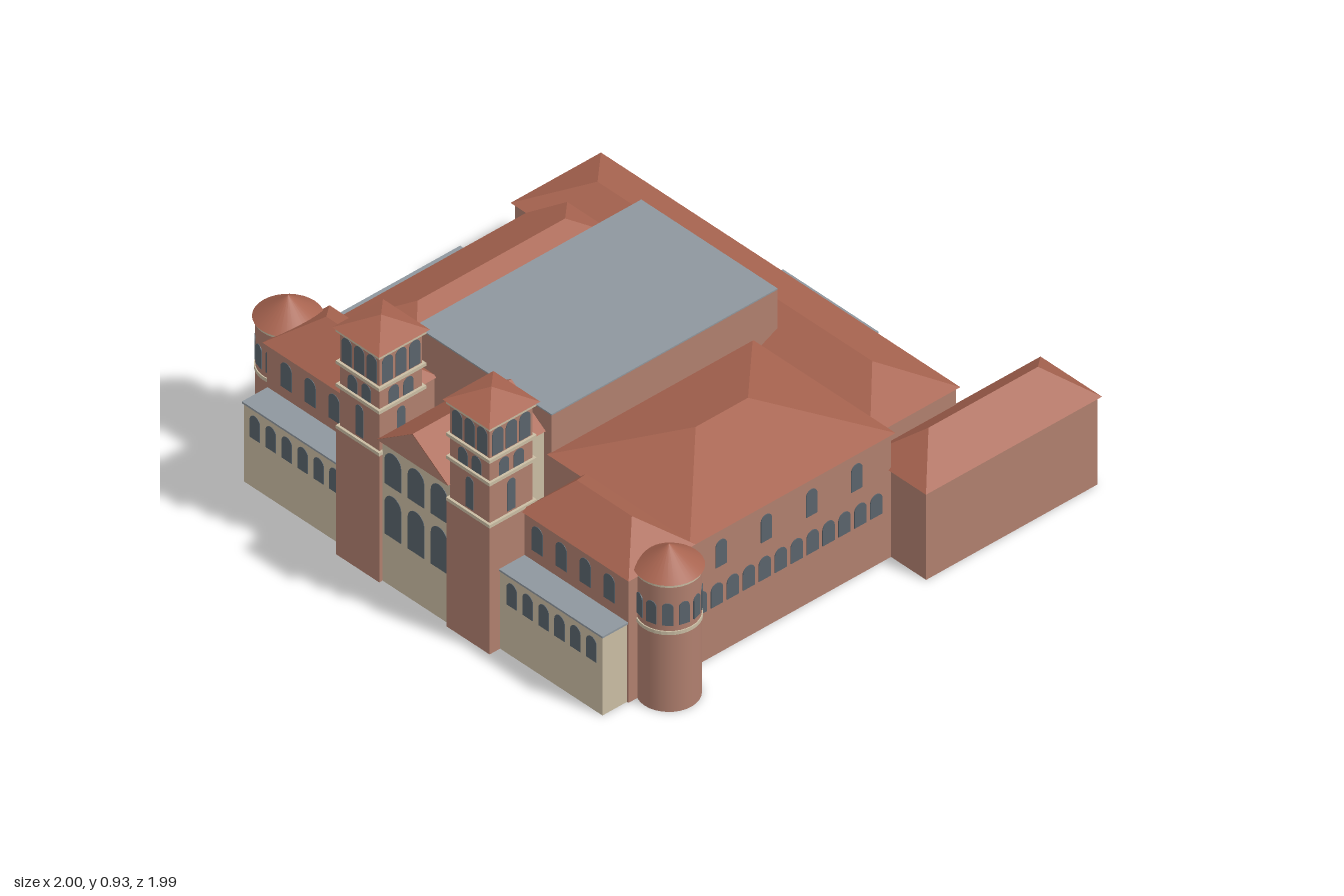
import * as THREE from 'three';

const mat = (color) => new THREE.MeshStandardMaterial({ color, side: THREE.DoubleSide });
const smoothBrick = mat(0xb07f6e);
const flat = (color) => Object.assign(mat(color), { flatShading: true });
const brick = flat(0xb07f6e), tile = flat(0xa86450), cream = flat(0xcabda3);
const glass = flat(0x59636b), slate = flat(0x8e979e);
const CX = 0.007; // axis of the symmetric entrance front

export function createModel() {
  const root = new THREE.Group();
  root.name = 'building';

  const add = (parent, name, geo, material, x = 0, y = 0, z = 0) => {
    const m = new THREE.Mesh(geo, material);
    m.name = name;
    m.position.set(x, y, z);
    parent.add(m);
    return m;
  };

  // Box given by its limits; walls have no floor
  const block = (parent, name, x0, x1, y0, y1, z0, z1, material, open = true) => {
    const g = new THREE.BoxGeometry(x1 - x0, y1 - y0, z1 - z0);
    if (open) {
      const idx = Array.from(g.index.array);
      idx.splice(18, 6);
      g.setIndex(idx);
      g.clearGroups();
    }
    return add(parent, name, g, material, (x0 + x1) / 2, (y0 + y1) / 2, (z0 + z1) / 2);
  };

  // Hip roof with its ridge along x or z; lo and hi are the ridge ends
  const hip = (parent, name, x0, x1, z0, z1, y0, y1, axis, lo, hi) => {
    const A = [x0, y0, z1], B = [x1, y0, z1], C = [x1, y0, z0], D = [x0, y0, z0];
    const xm = (x0 + x1) / 2, zm = (z0 + z1) / 2, pos = [];
    const tri = (...p) => pos.push(...p.flat());
    const quad = (a, b, c, d) => { tri(a, b, c); if (lo !== hi) tri(a, c, d); };
    if (axis === 'x') {
      const P = [lo, y1, zm], Q = [hi, y1, zm];
      quad(A, B, Q, P); tri(B, C, Q); quad(C, D, P, Q); tri(D, A, P);
    } else {
      const P = [xm, y1, hi], Q = [xm, y1, lo];
      tri(A, B, P); quad(B, C, Q, P); tri(C, D, Q); quad(D, A, P, Q);
    }
    tri(A, D, C); tri(A, C, B);
    const g = new THREE.BufferGeometry();
    g.setAttribute('position', new THREE.Float32BufferAttribute(pos, 3));
    g.computeVertexNormals();
    return add(parent, name, g, tile);
  };

  // Round-headed window standing on y, turned to face the given angle
  const arch = (parent, w, h, x, y, z, turn = 0) => {
    const r = w / 2, s = new THREE.Shape();
    s.moveTo(-r, 0);
    s.lineTo(r, 0);
    s.lineTo(r, h - r);
    s.absarc(0, h - r, r, 0, Math.PI, false);
    s.lineTo(-r, 0);
    const g = new THREE.ExtrudeGeometry(s, { depth: 0.004, bevelEnabled: false, curveSegments: 6 });
    add(parent, 'archedWindow', g, glass, x, y, z).rotation.y = turn;
  };

  const group = (name, x = 0, z = 0) => {
    const g = new THREE.Group();
    g.name = name;
    g.position.set(x, 0, z);
    root.add(g);
    return g;
  };

  // Flat-roofed blocks
  const flatBlock = (name, x0, x1, z0, z1, h) => {
    const g = group(name);
    block(g, 'walls', x0, x1, 0, h - 0.005, z0, z1, brick);
    block(g, 'flatRoof', x0, x1, h - 0.005, h, z0, z1, slate, false);
  };
  flatBlock('centralHall', -0.425, 0.195, -0.38, 0.57, 0.63);
  flatBlock('leftAnnex', -1, -0.81, -0.15, 0.48, 0.25);
  flatBlock('rearAnnex', -0.235, 0.2, -0.8, -0.62, 0.25);

  // Hip-roofed wings: the roof overhangs the walls a little
  const wing = (name, x0, x1, z0, z1, eave, top, axis, lo, hi) => {
    const g = group(name), o = 0.01;
    block(g, 'walls', x0 + o, x1 - o, 0, eave, z0 + o, z1 - o, brick);
    hip(g, 'hipRoof', x0, x1, z0, z1, eave, top, axis, lo, hi);
    return g;
  };
  wing('leftWing', -0.82, -0.42, -0.44, 0.575, 0.42, 0.52, 'z', -0.24, 0.38);
  wing('rearWing', -0.89, 0.745, -0.64, -0.26, 0.42, 0.51, 'x', -0.7, 0.55);
  wing('rearSideWing', 0.72, 1, -1, -0.26, 0.34, 0.45, 'z', -0.86, -0.4);
  const rightWing = wing('rightWing', 0.19, 0.84, -0.28, 0.585, 0.48, 0.6, 'z', 0.04, 0.26);
  for (let i = 0; i < 12; i++) arch(rightWing, 0.05, 0.085, 0.829, 0.19, 0.53 - i * 0.067, Math.PI / 2);
  for (let i = 0; i < 4; i++) arch(rightWing, 0.046, 0.1, 0.829, 0.335, 0.445 - i * 0.19, Math.PI / 2);

  // Entrance bay with gable
  const bay = group('entranceBay', CX);
  block(bay, 'walls', -0.153, 0.153, 0, 0.55, 0.57, 0.965, cream);
  hip(bay, 'gableRoof', -0.162, 0.162, 0.565, 0.98, 0.55, 0.66, 'z', 0.565, 0.98);
  const gable = new THREE.Shape([[-0.162, 0.55], [0.162, 0.55], [0, 0.66]].map((p) => new THREE.Vector2(...p)));
  add(bay, 'gableFront', new THREE.ShapeGeometry(gable), brick, 0, 0, 0.982);
  for (const x of [-0.105, 0, 0.105]) {
    arch(bay, 0.074, 0.16, x, 0.19, 0.963);
    arch(bay, 0.074, 0.13, x, 0.385, 0.963);
  }

  for (const s of [-1, 1]) {
    const side = s > 0 ? 'left' : 'right';
    const span = (a, b) => (s > 0 ? [CX + a, CX + b] : [CX - b, CX - a]);

    // Front pavilion and the low pale block before it
    const pav = group(side + 'Pavilion');
    block(pav, 'walls', ...span(0.345, 0.822), 0, 0.48, 0.565, 0.832, brick);
    hip(pav, 'hipRoof', ...span(0.337, 0.833), 0.56, 0.842, 0.48, 0.585, 'x', ...span(0.445, 0.695));
    block(pav, 'frontBlock', ...span(0.345, 0.815), 0, 0.303, 0.83, 0.935, cream);
    block(pav, 'frontBlockRoof', ...span(0.343, 0.82), 0.303, 0.31, 0.83, 0.94, slate, false);
    for (let i = 0; i < 6; i++) arch(pav, 0.046, 0.09, CX + s * (0.403 + i * 0.0725), 0.19, 0.933);
    for (let i = 0; i < 4; i++) arch(pav, 0.05, 0.1, CX + s * (0.408 + i * 0.109), 0.35, 0.83);

    // Square tower: shaft, three window stages, pale bands, pyramid roof
    const tower = group(side + 'Tower', CX + s * 0.251, 0.881);
    const cube = (name, half, y0, y1, m) => block(tower, name, -half, half, y0, y1, -half, half, m);
    cube('shaft', 0.098, 0, 0.49, brick);
    cube('upperShaft', 0.09, 0.49, 0.87, brick);
    for (const y of [0.488, 0.65, 0.738]) cube('band', 0.099, y, y + 0.012, cream);
    cube('cornice', 0.099, 0.862, 0.88, cream);
    hip(tower, 'pyramidRoof', -0.107, 0.107, -0.107, 0.107, 0.878, 0.932, 'x', 0, 0);
    for (let k = 0; k < 4; k++) {
      const turn = k * Math.PI / 2, c = Math.cos(turn), n = Math.sin(turn);
      const put = (w, h, u, y) => arch(tower, w, h, u * c + 0.088 * n, y, -u * n + 0.088 * c, turn);
      put(0.034, 0.12, 0, 0.508);
      for (const u of [-0.031, 0.031]) put(0.042, 0.062, u, 0.664);
      for (const u of [-0.057, 0, 0.057]) put(0.046, 0.1, u, 0.754);
    }

    // Round corner turret
    const turret = group(side + 'Turret', CX + s * 0.866, 0.703);
    const drum = (name, r, y0, y1, m) =>
      add(turret, name, new THREE.CylinderGeometry(r, r, y1 - y0, 32, 1, true), m, 0, (y0 + y1) / 2, 0);
    drum('drum', 0.102, 0, 0.5, smoothBrick);
    for (const y of [0.3, 0.483]) {
      const ring = new THREE.CylinderGeometry(0.106, 0.106, 0.013, 32);
      add(turret, 'band', ring, cream, 0, y + 0.0065, 0);
    }
    add(turret, 'coneRoof', new THREE.ConeGeometry(0.112, 0.08, 32), mat(0xa86450), 0, 0.535, 0);
    for (let k = 0; k < 12; k++) {
      const a = (k + 0.5) * Math.PI / 6;
      arch(turret, 0.036, 0.085, Math.sin(a) * 0.1, 0.335, Math.cos(a) * 0.1, a);
    }
  }
  return root;
}
